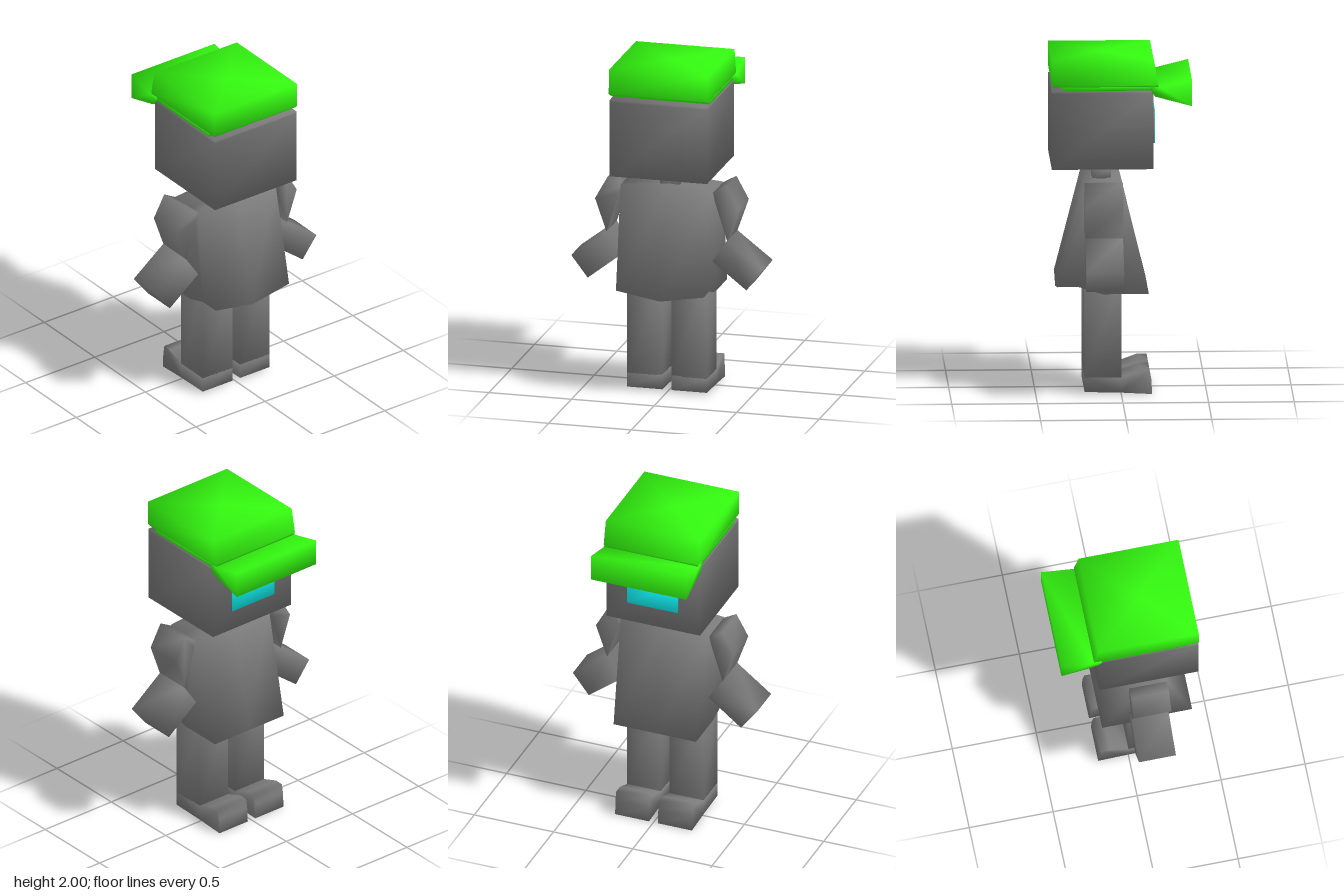
import * as THREE from 'three';
import { toCreasedNormals } from 'three/addons/utils/BufferGeometryUtils.js';

const grey = new THREE.MeshStandardMaterial({ color: 0x7c7c7c });
const green = new THREE.MeshStandardMaterial({ color: 0x34fa10 });
const cyan = new THREE.MeshStandardMaterial({ color: 0x10ffff });
const CREASE = 1.9; // blocks are shaded softly, even round their square edges

function part(name, geometry, material = grey) {
  const mesh = new THREE.Mesh(toCreasedNormals(geometry, CREASE), material);
  mesh.name = name;
  return mesh;
}

// Rectangular cross-section at height y
const rect = (y, x0, x1, z) => [[x0, y, z], [x1, y, z], [x1, y, -z], [x0, y, -z]];

// Skin between rings of points, listed bottom to top, closed at both ends
function loft(rings) {
  const pos = [];
  const n = rings[0].length;
  const tri = (...pts) => pts.forEach((p) => pos.push(...p));
  const centre = (ring) => [0, 1, 2].map((k) => ring.reduce((s, p) => s + p[k], 0) / n);
  const low = rings[0], high = rings[rings.length - 1];
  const lowMid = centre(low), highMid = centre(high);
  for (let i = 0; i < n; i++) {
    const j = (i + 1) % n;
    for (let r = 0; r < rings.length - 1; r++) {
      const a = rings[r], b = rings[r + 1];
      tri(a[i], a[j], b[j]);
      tri(a[i], b[j], b[i]);
    }
    tri(lowMid, low[j], low[i]);
    tri(highMid, high[i], high[j]);
  }
  const g = new THREE.BufferGeometry();
  g.setAttribute('position', new THREE.Float32BufferAttribute(pos, 3));
  return g;
}

function extrude(points, depth) {
  const shape = new THREE.Shape(points.map(([x, y]) => new THREE.Vector2(x, y)));
  return new THREE.ExtrudeGeometry(shape, { depth, bevelEnabled: false });
}

// x-y profile swept along z, and z-y profile swept along x
const prismZ = (points, z0, z1) => extrude(points, z1 - z0).translate(0, 0, z0);
const prismX = (points, x0, x1) =>
  extrude(points.map(([z, y]) => [-z, y]), x1 - x0).rotateY(Math.PI / 2).translate(x0, 0, 0);

export function createModel() {
  const model = new THREE.Group();
  model.name = 'blockFigure';

  // Head, tapering underneath to the neck
  model.add(part('head', loft([
    rect(1.305, 0.055, 0.165, 0.055),
    rect(1.35, -0.185, 0.408, 0.295),
    rect(1.8, -0.185, 0.408, 0.295),
    rect(1.815, -0.185, 0.408, 0.295),
  ])));
  model.add(part('neck', loft([rect(1.24, 0.055, 0.165, 0.055), rect(1.31, 0.055, 0.165, 0.055)])));

  // Face panel with its coloured front
  const frame = new THREE.BoxGeometry(0.02, 0.2, 0.32).translate(-0.186, 1.58, 0);
  model.add(part('visorFrame', frame));
  const visor = new THREE.BoxGeometry(0.004, 0.2, 0.32).translate(-0.197, 1.58, 0);
  model.add(part('visor', visor, cyan));

  // Cap: inner band, crown and flared brim
  const cap = new THREE.Group();
  cap.name = 'cap';
  cap.add(part('capBand', loft([rect(1.818, -0.18, 0.345, 0.293), rect(1.85, -0.18, 0.345, 0.293)]), green));
  cap.add(part('capCrown', loft([
    rect(1.84, -0.215, 0.4, 0.293),
    rect(1.853, -0.215, 0.408, 0.3),
    rect(2, -0.187, 0.408, 0.298),
  ]), green));
  cap.add(part('capBrim', prismZ([
    [-0.41, 1.725], [-0.195, 1.783], [-0.17, 1.82], [-0.17, 1.845], [-0.22, 1.837], [-0.41, 1.885],
  ], -0.3, 0.3), green));
  model.add(cap);

  // Torso: flared towards the hem, with the hem raised at the rear corners
  const hem = [
    [-0.16, 0.6, 0.26], [0.11, 0.6, 0.26], [0.25, 0.645, 0.265], [0.375, 0.645, 0.265], [0.378, 0.6, 0],
    [0.375, 0.645, -0.265], [0.25, 0.645, -0.265], [0.11, 0.6, -0.26], [-0.16, 0.6, -0.26], [-0.16, 0.6, 0],
  ];
  const shoulders = [
    [0, 1.245, 0.28], [0.09, 1.245, 0.28], [0.16, 1.245, 0.28], [0.22, 1.245, 0.28], [0.22, 1.27, 0],
    [0.22, 1.245, -0.28], [0.16, 1.245, -0.28], [0.09, 1.245, -0.28], [0, 1.245, -0.28], [0, 1.27, 0],
  ];
  model.add(part('torso', loft([hem, shoulders])));

  // Arms and legs, mirrored across z
  const upperArm = [[0.36, 1.285], [0.28, 1.24], [0.29, 1.19], [0.365, 0.95], [0.435, 1.15]];
  const forearm = [[0.365, 0.955], [0.275, 0.82], [0.48, 0.66], [0.58, 0.79]];
  const foot = [
    [-0.18, 0], [0, 0.01], [0.215, 0.015], [0.215, 0.105], [0, 0.105], [-0.11, 0.145], [-0.165, 0.145], [-0.175, 0.09],
  ];
  for (const side of [1, -1]) {
    const mirror = (points) => points.map(([z, y]) => [z * side, y]);
    const arm = new THREE.Group();
    arm.name = side > 0 ? 'armA' : 'armB';
    arm.add(part('upperArm', prismX(mirror(upperArm), -0.005, 0.218)));
    arm.add(part('forearm', prismX(mirror(forearm), -0.005, 0.215)));

    const leg = new THREE.Group();
    leg.name = side > 0 ? 'legA' : 'legB';
    const limb = new THREE.BoxGeometry(0.215, 0.6, 0.214).translate(0.1075, 0.4, 0.135 * side);
    leg.add(part('legColumn', limb));
    leg.add(part('foot', prismZ(foot, 0.135 * side - 0.107, 0.135 * side + 0.107)));
    model.add(arm, leg);
  }
  return model;
}
